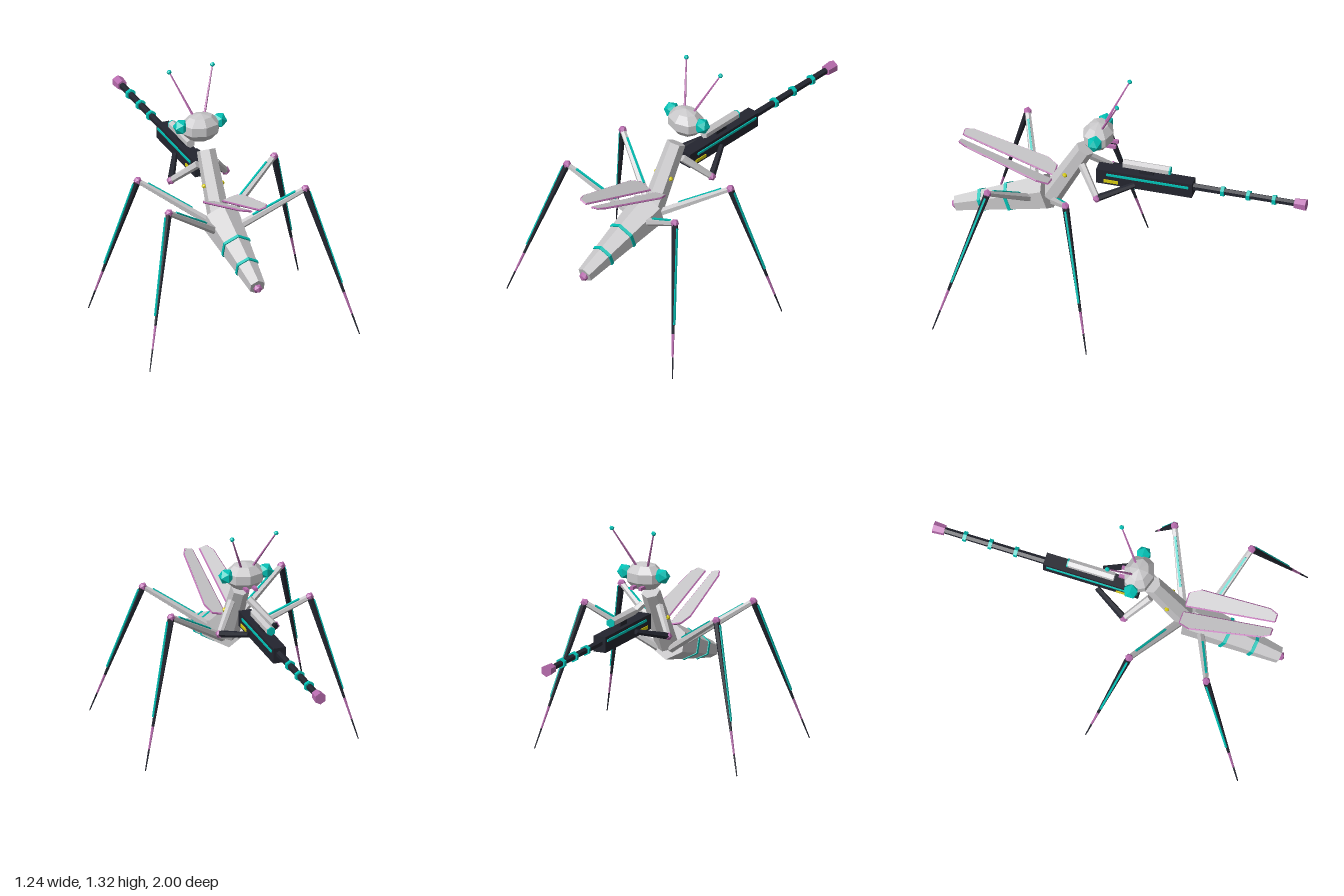
import * as THREE from 'three';

const mat = (name, color) => {
  const m = new THREE.MeshStandardMaterial({ color, flatShading: true });
  m.name = name;
  return m;
};
const V = (x, y, z) => new THREE.Vector3(x, y, z);
const UP = V(0, 1, 0);

export function createModel() {
  const root = new THREE.Group();
  root.name = 'mantisRobot';
  const shell = mat('paleShell', 0xc9c8ca);
  const dark = mat('darkMetal', 0x23252f);
  const teal = mat('tealGlow', 0x00c2b6);
  const pink = mat('pinkJoint', 0xb86cae);
  const yellow = mat('yellowMark', 0xd8cc10);

  const add = (name, geo, material, pos) => {
    const m = new THREE.Mesh(geo, material);
    m.name = name;
    if (pos) m.position.copy(pos);
    root.add(m);
    return m;
  };
  // Tapered prism between two points
  const limb = (name, a, b, ra, rb, material, sides = 6) => {
    const d = b.clone().sub(a);
    const m = add(name, new THREE.CylinderGeometry(rb, ra, d.length(), sides), material,
      a.clone().add(b).multiplyScalar(0.5));
    m.quaternion.setFromUnitVectors(UP, d.normalize());
    return m;
  };
  const ball = (name, p, r, material) => add(name, new THREE.IcosahedronGeometry(r, 0), material, p);
  const box = (name, w, h, d, material, p) => add(name, new THREE.BoxGeometry(w, h, d), material, p);
  // Flat bar from a to b whose thin side faces the given normal
  const strip = (name, a, b, normal, width, material) => {
    const y = b.clone().sub(a);
    const len = y.length();
    y.normalize();
    const x = y.clone().cross(normal).normalize();
    const z = x.clone().cross(y);
    const m = box(name, width, len, 0.008, material, a.clone().add(b).multiplyScalar(0.5));
    m.quaternion.setFromRotationMatrix(new THREE.Matrix4().makeBasis(x, y, z));
  };

  // Abdomen with glowing bands and tail tip
  const abA = V(0, 0.59, 0.455), abB = V(0, 0.412, 0.968);
  limb('abdomen', abA, abB, 0.107, 0.046, shell);
  const axis = abB.clone().sub(abA).normalize();
  for (const t of [0.41, 0.71]) {
    const p = abA.clone().lerp(abB, t);
    const r = 0.113 - 0.061 * t;
    limb('abdomenBand', p.clone().addScaledVector(axis, -0.009), p.clone().addScaledVector(axis, 0.009),
      r, r, teal);
  }
  ball('tailTip', V(0, 0.405, 0.973), 0.027, pink);

  // Thorax
  limb('thorax', V(0, 0.575, 0.435), V(0, 0.915, 0.245), 0.062, 0.052, shell);

  // Head
  const head = add('head', new THREE.SphereGeometry(0.082, 8, 5), shell, V(0, 1.022, 0.17));
  head.scale.set(1.38, 0.98, 1.08);

  // Wings: outline in x and z, lifted along a sloping plane
  const outline = [[0.02, 0.43], [0.09, 0.43], [0.115, 0.49], [0.083, 0.89], [0.062, 0.935], [0.022, 0.935]];
  const wingY = (x, z) => 0.682 + (z - 0.43) * 0.335 + (Math.abs(x) - 0.02) * 0.25;

  for (const s of [1, -1]) {
    const side = s > 0 ? 'left' : 'right';
    const P = (x, y, z) => V(s * x, y, z);

    // Eye, antenna and mandible
    ball(side + 'Eye', P(0.112, 1.036, 0.16), 0.045, teal);
    const tip = P(0.127, 1.31, 0.03);
    limb(side + 'Antenna', P(0.035, 1.085, 0.14), tip, 0.007, 0.004, pink, 5);
    ball(side + 'AntennaTip', tip, 0.014, teal);
    box(side + 'Mandible', 0.018, 0.018, 0.055, pink, P(0.025, 0.975, 0.092));

    // Wing plate and trim
    const shape = new THREE.Shape(outline.map(([x, z]) => new THREE.Vector2(s * x, -z)));
    const geo = new THREE.ExtrudeGeometry(shape, { depth: 0.01, bevelEnabled: false });
    geo.rotateX(-Math.PI / 2);
    const pa = geo.attributes.position;
    for (let i = 0; i < pa.count; i++) {
      pa.setY(i, pa.getY(i) + wingY(pa.getX(i), pa.getZ(i)));
    }
    geo.computeVertexNormals();
    add(side + 'Wing', geo, shell);
    outline.forEach(([x, z], i) => {
      const [x2, z2] = outline[(i + 1) % outline.length];
      limb(side + 'WingTrim', P(x, wingY(x, z) + 0.004, z), P(x2, wingY(x2, z2) + 0.004, z2),
        0.006, 0.006, pink, 4);
    });

    // Walking legs
    const legs = [
      ['Middle', P(0.04, 0.56, 0.41), P(0.4, 0.803, 0.243), P(0.615, 0, 0.065)],
      ['Hind', P(0.05, 0.565, 0.535), P(0.4, 0.803, 0.682), P(0.615, 0, 0.93)],
    ];
    for (const [n, hip, knee, foot] of legs) {
      const name = side + n;
      limb(name + 'Femur', hip, knee, 0.024, 0.016, shell);
      ball(name + 'Knee', knee, 0.024, pink);
      const up = V(-s * 0.55, 0.83, 0);
      strip(name + 'FemurStrip', hip.clone().lerp(knee, 0.28).addScaledVector(up, 0.021),
        hip.clone().lerp(knee, 0.88).addScaledVector(up, 0.017), up, 0.012, teal);
      const at = (t) => knee.clone().lerp(foot, t);
      const rad = (t) => 0.019 - 0.016 * t;
      [[0, 0.71, 'Tibia', dark], [0.71, 0.86, 'TibiaBand', pink], [0.86, 1, 'Claw', dark]]
        .forEach(([a, b, part, m]) => limb(name + part, at(a), at(b), rad(a), rad(b), m));
      const out = V(s * 0.96, 0.26, 0);
      strip(name + 'TibiaStrip', at(0.03).addScaledVector(out, 0.018),
        at(0.65).addScaledVector(out, 0.009), out, 0.011, teal);
    }

    // Grasping arm holding the rifle
    const elbow = P(0.16, 0.713, 0.135);
    limb(side + 'UpperArm', P(0.05, 0.84, 0.25), elbow, 0.022, 0.018, shell);
    ball(side + 'Elbow', elbow, 0.025, pink);
    limb(side + 'Forearm', elbow, P(0.06, 0.77, -0.05), 0.02, 0.015, dark);
    ball(side + 'ThoraxStud', P(0.053, 0.752, 0.345), 0.014, yellow);

    // Rifle side markings
    box(side + 'RifleStrip', 0.008, 0.013, 0.46, teal, P(0.038, 0.79, -0.115));
    box(side + 'RifleMark', 0.008, 0.018, 0.08, yellow, P(0.037, 0.748, 0.09));
  }

  // Rifle body, scope and barrel
  box('rifleBody', 0.072, 0.088, 0.54, dark, V(0, 0.77, -0.095));
  box('scopeMount', 0.025, 0.03, 0.08, dark, V(0, 0.825, -0.1));
  limb('scope', V(0, 0.857, 0.03), V(0, 0.857, -0.23), 0.025, 0.025, shell);
  limb('scopeLens', V(0, 0.857, -0.23), V(0, 0.857, -0.238), 0.025, 0.025, teal);
  limb('barrel', V(0, 0.778, -0.36), V(0, 0.778, -0.95), 0.02, 0.018, dark);
  for (const z of [-0.53, -0.675, -0.82]) {
    limb('barrelRing', V(0, 0.778, z + 0.01), V(0, 0.778, z - 0.01), 0.029, 0.029, teal);
  }
  limb('muzzle', V(0, 0.778, -0.935), V(0, 0.778, -1), 0.029, 0.034, pink);

  return root;
}
